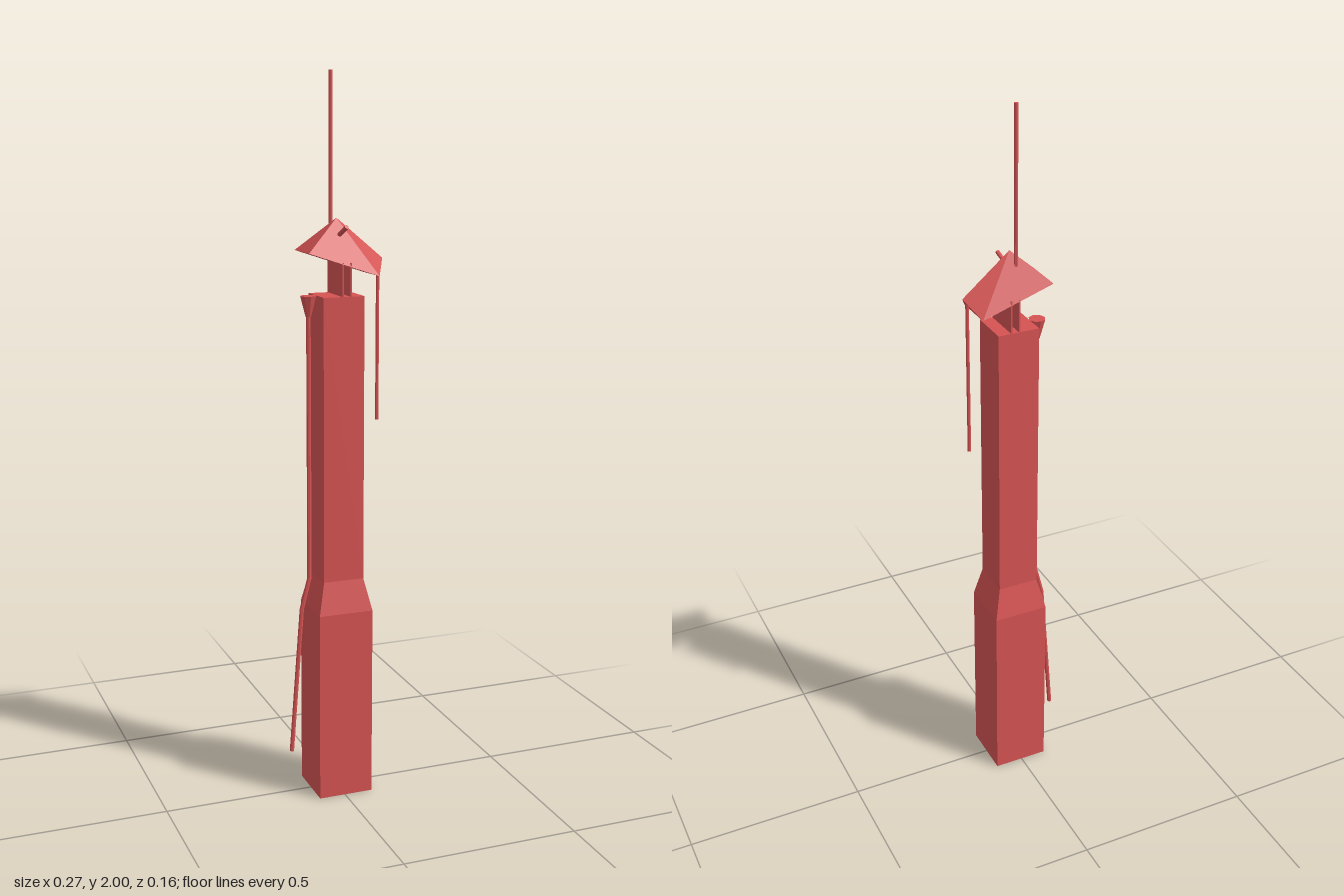
import * as THREE from 'three';

const material = new THREE.MeshStandardMaterial({ color: 0xd65353, flatShading: true, side: THREE.DoubleSide });
const V = (x, y, z) => new THREE.Vector3(x, y, z);

export function createModel() {
  const group = new THREE.Group();

  function add(name, geometry, x = 0, y = 0, z = 0) {
    const mesh = new THREE.Mesh(geometry, material);
    mesh.name = name;
    mesh.position.set(x, y, z);
    group.add(mesh);
    return mesh;
  }

  // Straight round bar between two points
  function bar(name, a, b, radius) {
    const dir = b.clone().sub(a);
    const mesh = add(name, new THREE.CylinderGeometry(radius, radius, dir.length(), 8));
    mesh.position.copy(a).add(b).multiplyScalar(0.5);
    mesh.quaternion.setFromUnitVectors(V(0, 1, 0), dir.normalize());
  }

  // Square tower: wide base, sloped shoulder, narrow shaft
  const tower = [[0, 0], [0.078, 0], [0.078, 0.541], [0.058, 0.631], [0.058, 1.416], [0, 1.416]]
    .map(([half, y]) => new THREE.Vector2(half * Math.SQRT2, y));
  add('tower', new THREE.LatheGeometry(tower, 4, Math.PI / 4), 0.003);

  // Two thin plates carrying the roof
  for (const x of [0.001, 0.023]) {
    add('roofSupport', new THREE.BoxGeometry(0.004, 0.094, 0.114), x, 1.458, 0);
  }

  // Tilted roof with a hip at one end and an overhanging prow at the other
  const apex = V(0.003, 1.62, 0), tip = V(0.135, 1.51, 0);
  const [lf, lb] = [1, -1].map((s) => V(-0.095, 1.533, s * 0.058));
  const [rf, rb] = [1, -1].map((s) => V(0.104, 1.467, s * 0.058));
  const roof = new THREE.BufferGeometry().setFromPoints([
    apex, lf, rf, apex, rf, tip, // front slope
    apex, rb, lb, apex, tip, rb, // back slope
    apex, lb, lf, // hip
    tip, rf, rb, // prow
    lf, lb, rb, lf, rb, rf, // underside
  ]);
  roof.computeVertexNormals();
  add('roof', roof);

  // Mast, short vent on the front slope and hanging rod
  bar('mast', V(-0.008, 1.58, -0.016), V(-0.008, 2, -0.016), 0.0055);
  bar('vent', V(0.002, 1.574, 0.016), V(0.012, 1.599, 0.053), 0.006);
  bar('hangingRod', V(0.122, 1.066, 0), V(0.122, 1.5, 0), 0.005);

  // Drainpipe with a funnel on top
  add('funnel', new THREE.CylinderGeometry(0.023, 0.008, 0.056, 8), -0.077, 1.388, 0);
  const path = new THREE.CurvePath();
  const bends = [V(-0.077, 1.36, 0), V(-0.077, 0.631, 0), V(-0.1, 0.541, 0), V(-0.132, 0.122, 0)];
  for (let i = 1; i < bends.length; i++) {
    path.add(new THREE.LineCurve3(bends[i - 1], bends[i]));
    bar('drainpipe', bends[i - 1], bends[i], 0.0065);
  }
  return group;
}
